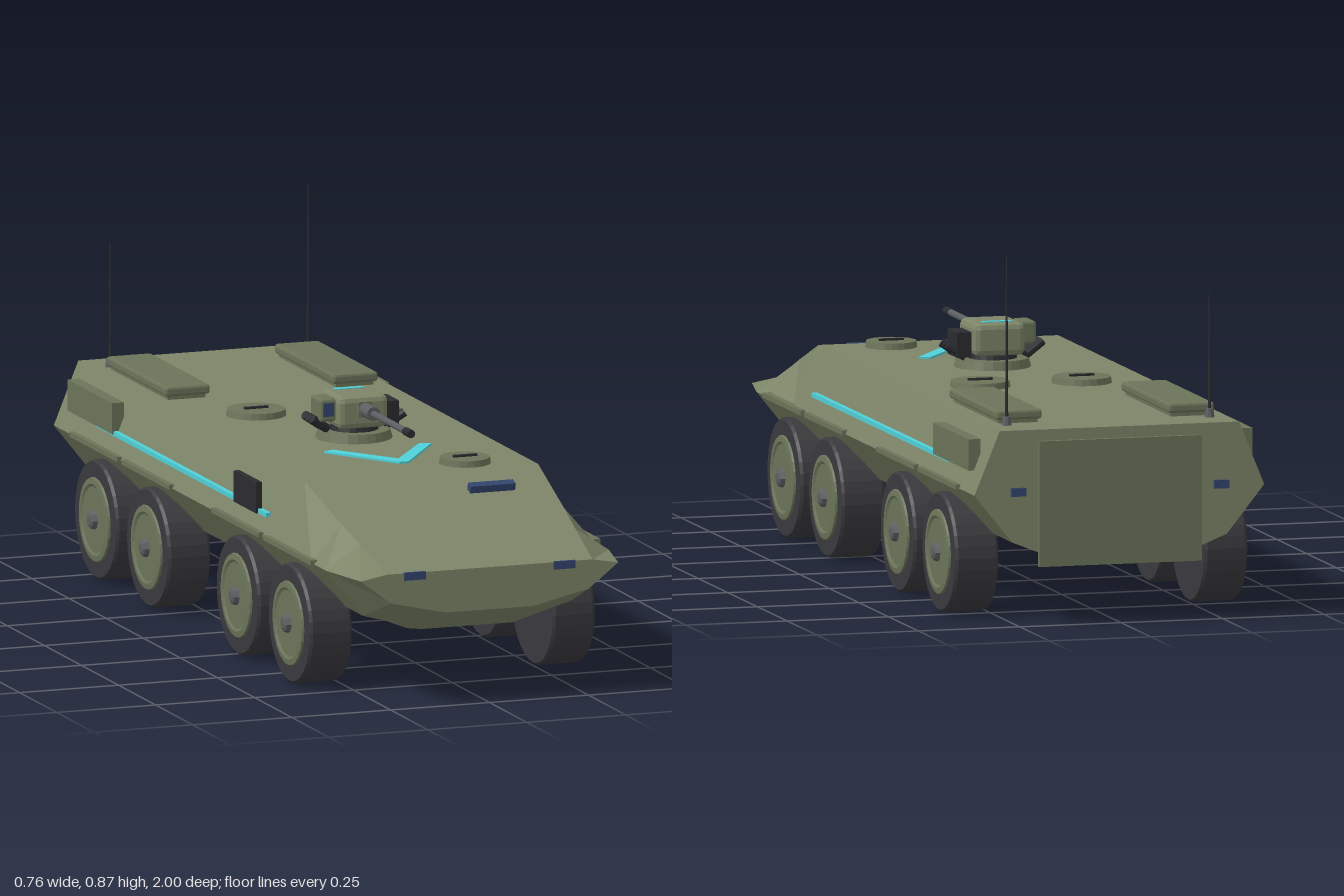
import * as THREE from 'three';
import { RoundedBoxGeometry } from 'three/addons/geometries/RoundedBoxGeometry.js';

const mat = (color, flatShading = true) => new THREE.MeshStandardMaterial({ color, flatShading });
const olive = mat(0x7d8568), oliveDark = mat(0x6b7459), rubber = mat(0x3a3a3e), metal = mat(0x5c5f62);
const black = mat(0x2b2c30), glass = mat(0x33456f), cyan = mat(0x4fd0d8);

export function createModel() {
  const model = new THREE.Group();

  const add = (name, geometry, material, x = 0, y = 0, z = 0, parent = model) => {
    const mesh = new THREE.Mesh(geometry, material);
    mesh.name = name;
    mesh.position.set(x, y, z);
    parent.add(mesh);
    return mesh;
  };
  const box = (name, w, h, d, material, x, y, z, parent) =>
    add(name, new THREE.BoxGeometry(w, h, d), material, x, y, z, parent);
  const rounded = (name, w, h, d, r, material, x, y, z, parent) =>
    add(name, new RoundedBoxGeometry(w, h, d, 1, r), material, x, y, z, parent);
  const disc = (name, rTop, rBottom, h, material, x, y, z, parent, sides = 24) =>
    add(name, new THREE.CylinderGeometry(rTop, rBottom, h, sides), material, x, y, z, parent);

  add('hull', hullGeometry(), olive);

  // Rear ramp and its lower step
  box('rearRamp', 0.4, 0.3, 0.012, oliveDark, 0, 0.29, -0.99);

  // Wheels, fenders and everything else mirrored along the sides
  for (const s of [-1, 1]) {
    for (const z of [0.61, 0.26, -0.345, -0.695]) {
      const wheel = makeWheel();
      wheel.position.set(s * 0.307, 0.143, z);
      wheel.rotation.y = s > 0 ? 0 : Math.PI;
      model.add(wheel);
      box('fender', 0.034, 0.012, 0.32, oliveDark, s * 0.349, 0.319, z);
    }
    box('sideStripe', 0.012, 0.011, 1.15, cyan, s * 0.341, 0.366, -0.155);
    box('sideLocker', 0.03, 0.075, 0.3, oliveDark, s * 0.335, 0.402, -0.76);
    box('headlight', 0.054, 0.019, 0.012, glass, s * 0.189, 0.319, 0.996);
    box('tailLight', 0.036, 0.02, 0.014, glass, s * 0.25, 0.32, -0.988);

    // Roof stowage boxes with overhanging lids
    box('stowageBase', 0.095, 0.015, 0.385, oliveDark, s * 0.212, 0.473, -0.667);
    rounded('stowageLid', 0.113, 0.023, 0.4, 0.006, oliveDark, s * 0.212, 0.487, -0.667);

    // Whip antennas of unequal length
    const tip = s > 0 ? 0.87 : 0.767;
    disc('antennaMount', 0.009, 0.012, 0.022, metal, s * 0.25, 0.477, -0.89, model, 10);
    disc('antenna', 0.0018, 0.004, tip - 0.48, black, s * 0.25, (tip + 0.48) / 2, -0.89, model, 8);
  }
  box('sidePanel', 0.015, 0.075, 0.15, black, -0.345, 0.398, 0.29);

  // Roof hatches with handles
  for (const [x, z, r] of [[-0.125, -0.24, 0.072], [0.125, -0.24, 0.072], [0.138, 0.465, 0.062]]) {
    disc('hatch', r * 0.96, r, 0.016, oliveDark, x, 0.474, z);
    box('hatchHandle', 0.06, 0.006, 0.009, black, x, 0.484, z);
  }

  // Driver's vision block on the sloped bow
  const vision = box('visionBlock', 0.113, 0.018, 0.022, glass, 0.138, 0.444, 0.645);
  vision.rotation.x = 0.29;

  // Painted chevron ahead of the turret
  const chevron = new THREE.Shape([[-0.135, -0.245], [-0.108, -0.235], [0, -0.385], [0.108, -0.235],
    [0.135, -0.245], [0.012, -0.425], [-0.012, -0.425]].map(p => new THREE.Vector2(...p)));
  const chevronGeometry = new THREE.ExtrudeGeometry(chevron, { depth: 0.006, bevelEnabled: false });
  add('chevron', chevronGeometry.rotateX(-Math.PI / 2), cyan, 0, 0.466, 0);

  model.add(makeTurret(add, box, rounded, disc));
  return model;
}

// Faceted hull lofted through cross-sections from tail to nose
function hullGeometry() {
  // z, then half-section points: bottom, lower, belt, roof
  const stations = [
    [-0.985, [0.115, 0.14], [0.265, 0.2], [0.357, 0.315], [0.295, 0.467]],
    [0.54, [0.115, 0.14], [0.265, 0.2], [0.357, 0.315], [0.295, 0.467]],
    [0.75, [0.115, 0.14], [0.265, 0.2], [0.357, 0.315], [0.281, 0.403]],
    [0.85, [0.115, 0.157], [0.265, 0.2], [0.357, 0.315], [0.272, 0.373]],
    [1, [0.11, 0.225], [0.25, 0.257], [0.325, 0.315], [0.26, 0.327]],
  ];
  const rings = stations.map(([z, ...half]) => [
    ...half.map(([x, y]) => [x, y, z]),
    ...half.slice().reverse().map(([x, y]) => [-x, y, z]),
  ]);
  const positions = [];
  const tri = (...corners) => corners.forEach(c => positions.push(...c));
  const n = rings[0].length;
  for (let i = 0; i < rings.length - 1; i++) {
    for (let j = 0; j < n; j++) {
      const k = (j + 1) % n;
      const [back, front] = [rings[i], rings[i + 1]];
      tri(back[j], back[k], front[k]);
      tri(back[j], front[k], front[j]);
    }
  }
  // End caps
  const nose = rings[rings.length - 1], tail = rings[0];
  for (let j = 1; j < n - 1; j++) {
    tri(nose[0], nose[j], nose[j + 1]);
    tri(tail[0], tail[j + 1], tail[j]);
  }
  const geometry = new THREE.BufferGeometry();
  geometry.setAttribute('position', new THREE.Float32BufferAttribute(positions, 3));
  geometry.computeVertexNormals();
  return geometry;
}

// Wheel turned about x, outer face towards +x
function makeWheel() {
  const wheel = new THREE.Group();
  wheel.name = 'wheel';
  const turned = (name, profile, material, sides) => {
    const points = profile.map(([r, x]) => new THREE.Vector2(r, x));
    const mesh = new THREE.Mesh(new THREE.LatheGeometry(points, sides).rotateZ(-Math.PI / 2), material);
    mesh.name = name;
    wheel.add(mesh);
  };
  turned('tyre', [[0, -0.053], [0.138, -0.053], [0.143, -0.046], [0.143, 0.046], [0.138, 0.053], [0, 0.053]], rubber, 32);
  turned('rim', [[0.103, 0.05], [0.1, 0.058], [0.086, 0.06], [0.08, 0.056], [0, 0.056]], oliveDark, 24);
  turned('hub', [[0.024, 0.055], [0.02, 0.067], [0.012, 0.071], [0, 0.071]], metal, 8);
  return wheel;
}

// Remote weapon station
function makeTurret(add, box, rounded, disc) {
  const turret = new THREE.Group();
  turret.name = 'turret';
  turret.position.set(0, 0, 0.085);
  disc('turretRing', 0.086, 0.092, 0.022, oliveDark, 0, 0.477, 0, turret);
  disc('turretNeck', 0.055, 0.06, 0.02, black, 0, 0.493, 0, turret);
  rounded('turretBody', 0.126, 0.078, 0.14, 0.014, olive, 0, 0.538, 0, turret);
  box('turretStripe', 0.074, 0.004, 0.016, cyan, 0, 0.577, -0.035, turret);

  // Gun: mantlet, sleeve, barrel and muzzle
  box('mantlet', 0.036, 0.038, 0.012, oliveDark, 0, 0.547, 0.073, turret);
  const tube = (name, r, z0, z1, material) => {
    const part = disc(name, r, r, z1 - z0, material, 0, 0.547, (z0 + z1) / 2, turret, 12);
    part.rotation.x = Math.PI / 2;
  };
  tube('gunSleeve', 0.017, 0.07, 0.135, metal);
  tube('gunBarrel', 0.008, 0.13, 0.385, metal);
  tube('muzzle', 0.01, 0.35, 0.387, black);

  // Sight on one side, ammunition box on the other
  rounded('sight', 0.04, 0.055, 0.07, 0.006, oliveDark, -0.083, 0.545, 0.015, turret);
  box('sightLens', 0.026, 0.032, 0.006, glass, -0.083, 0.547, 0.05, turret);
  box('ammunitionBox', 0.036, 0.06, 0.08, black, 0.081, 0.525, 0, turret);

  // Smoke launchers angled outwards
  for (const s of [-1, 1]) {
    for (const z of [-0.025, 0, 0.025]) {
      const launcher = disc('smokeLauncher', 0.011, 0.011, 0.052, black, s * 0.096, 0.51, z, turret, 10);
      launcher.rotation.set(0.35, 0, -s * 0.95);
    }
  }
  return turret;
}
